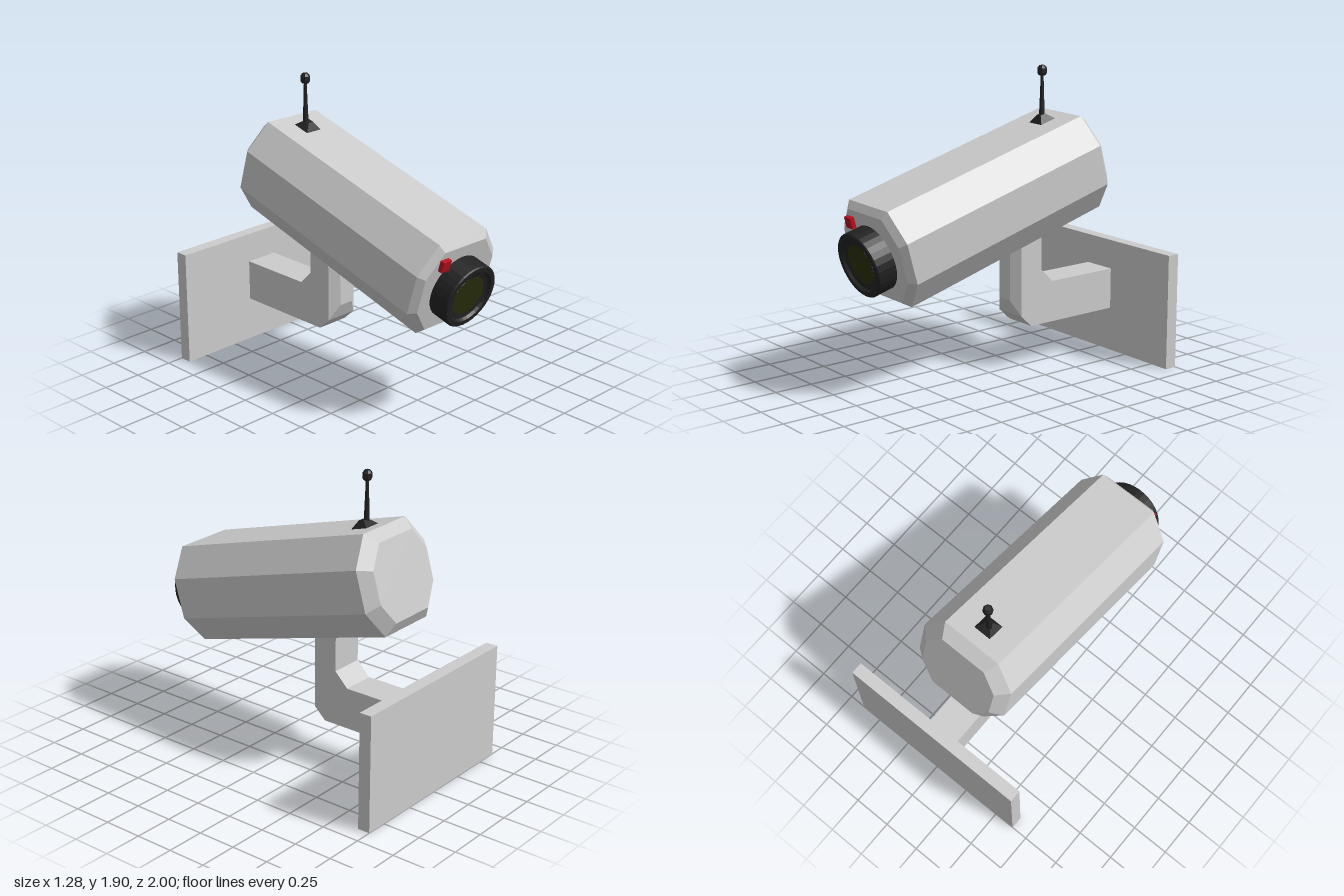
import * as THREE from 'three';

const material = (color) => new THREE.MeshStandardMaterial({ color, flatShading: true });
const grey = material(0xcccccc);
const black = material(0x222222);
const glass = material(0x2b300c);
const red = material(0xb80f20);

function add(parent, name, geometry, mat, x = 0, y = 0, z = 0) {
  const mesh = new THREE.Mesh(geometry, mat);
  mesh.name = name;
  mesh.position.set(x, y, z);
  parent.add(mesh);
  return mesh;
}

// Skin a series of rings (counter-clockwise seen from the last ring) and cap both ends.
function loft(rings) {
  const out = [];
  const tri = (a, b, c) => out.push(...a, ...b, ...c);
  const n = rings[0].length;
  for (let k = 0; k < rings.length - 1; k++) {
    const r = rings[k], s = rings[k + 1];
    for (let i = 0; i < n; i++) {
      const j = (i + 1) % n;
      tri(r[i], r[j], s[j]);
      tri(r[i], s[j], s[i]);
    }
  }
  const first = rings[0], last = rings[rings.length - 1];
  for (let i = 1; i < n - 1; i++) {
    tri(first[0], first[i + 1], first[i]);
    tri(last[0], last[i], last[i + 1]);
  }
  const g = new THREE.BufferGeometry();
  g.setAttribute('position', new THREE.Float32BufferAttribute(out, 3));
  g.computeVertexNormals();
  return g;
}

const lathe = (profile, sides) =>
  new THREE.LatheGeometry(profile.map(([r, y]) => new THREE.Vector2(r, y)), sides);

// Octagonal housing section at depth z
const octagon = (z, s) => [
  [0.33, -0.13], [0.33, 0.13], [0.2, 0.31], [-0.2, 0.31],
  [-0.33, 0.13], [-0.33, -0.13], [-0.2, -0.31], [0.2, -0.31],
].map(([x, y]) => [x * s, y * s, z]);

// Bracket section: inner edge, side edge and chamfered outer edge, each as [y, z]
const bracketRing = (inner, side, outer) => [
  [0.11, ...inner], [-0.11, ...inner], [-0.11, ...side],
  [-0.05, ...outer], [0.05, ...outer], [0.11, ...side],
];

export function createModel() {
  const model = new THREE.Group();
  model.name = 'securityCamera';

  // Wall mount
  add(model, 'wallPlate', new THREE.BoxGeometry(1.28, 0.74, 0.08), grey, 0, 0.37, -0.96);
  add(model, 'bracketArm', loft([
    bracketRing([0.55, -0.93], [0.285, -0.93], [0.285, -0.93]),
    bracketRing([0.55, -0.42], [0.285, -0.25], [0.285, -0.25]),
    bracketRing([0.64, -0.33], [0.36, -0.17], [0.36, -0.17]),
    bracketRing([0.64, -0.33], [0.36, -0.17], [0.46, -0.125]),
    bracketRing([0.95, -0.33], [0.95, -0.17], [0.95, -0.125]),
  ]), grey);

  // Tilted camera head, pointing along its own +z
  const head = new THREE.Group();
  head.name = 'cameraHead';
  head.position.set(-0.032, 1.029, 0.291);
  head.rotation.set(0.2755, -0.012, -0.012, 'YXZ');
  model.add(head);

  add(head, 'housing', loft([
    octagon(-1.06, 0.78), octagon(-0.995, 1), octagon(0.513, 1), octagon(0.55, 0.87),
  ]), grey);

  // Lens barrel with a recessed glass
  const barrel = lathe([
    [0.205, 0.53], [0.205, 0.672], [0.198, 0.68], [0.168, 0.68], [0.158, 0.662], [0.12, 0.655],
  ], 32);
  add(head, 'lensBarrel', barrel.rotateX(Math.PI / 2), black, 0, -0.01, 0);
  add(head, 'lensGlass', new THREE.CircleGeometry(0.127, 32), glass, 0, -0.01, 0.66);

  add(head, 'statusLight', new THREE.BoxGeometry(0.066, 0.07, 0.06), red, -0.166, 0.19, 0.548);

  // Antenna: square foot on the housing, upright rod and knob
  const foot = new THREE.CylinderGeometry(0.026, 0.085, 0.045, 4).rotateY(Math.PI / 4);
  add(head, 'antennaFoot', foot, black, 0, 0.33, -0.845);
  add(model, 'antennaRod', lathe([
    [0.018, 1.58], [0.009, 1.84], [0.022, 1.84], [0.03, 1.855],
    [0.03, 1.885], [0.018, 1.902], [0, 1.902],
  ], 8), black, -0.031, 0, -0.443);

  return model;
}
